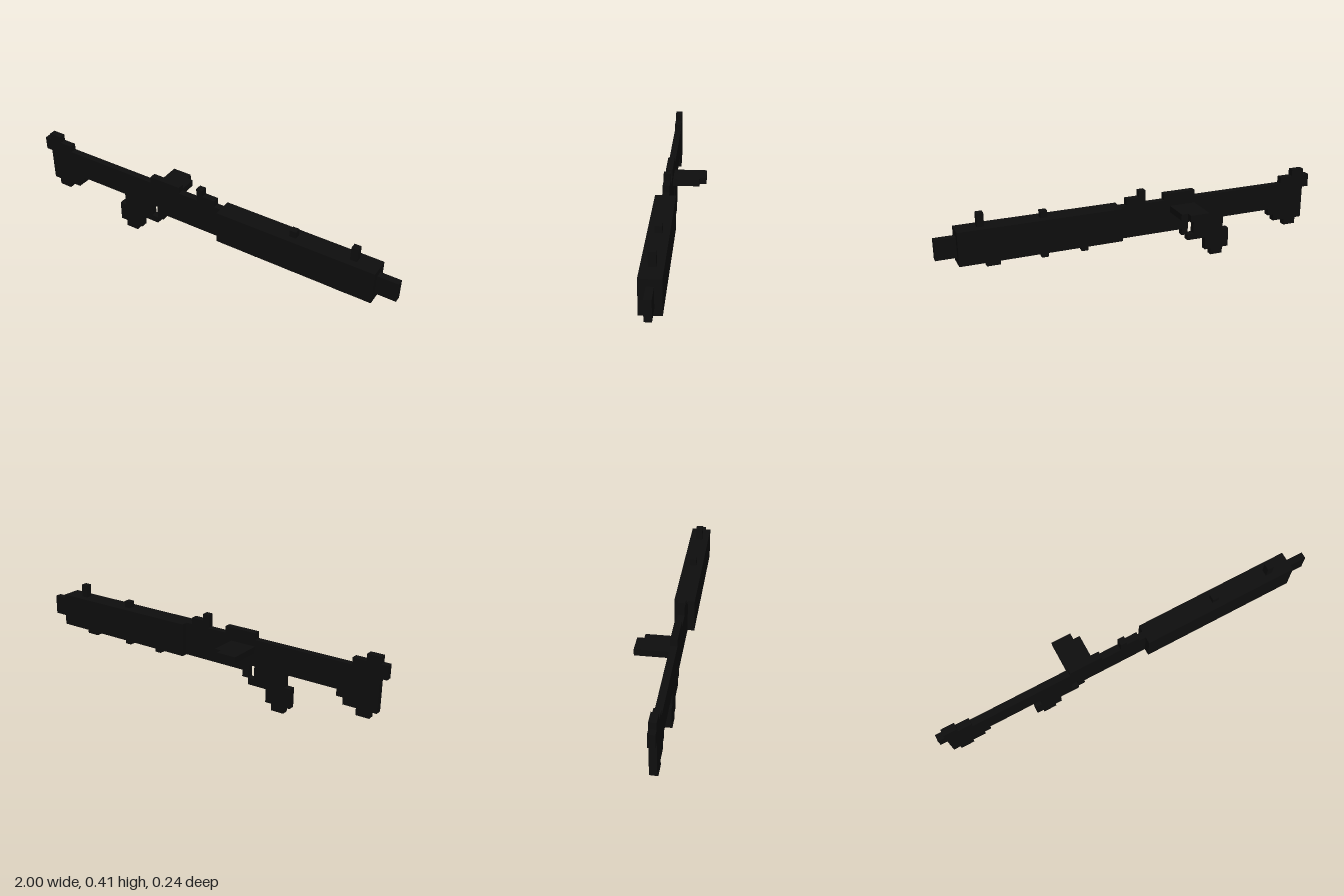
import * as THREE from 'three';

// The model sits on a grid of 59 x 12 x 7 cubes.
const UNIT = 2 / 59;

export function createModel() {
  const model = new THREE.Group();
  const blackMetal = new THREE.MeshStandardMaterial({ color: 0x0e0e0e });
  blackMetal.name = 'blackMetal';

  // Block between two grid corners; z defaults to the one-cube-thick centre layer.
  function block(name, x0, x1, y0, y1, z0 = 5, z1 = 6) {
    const geometry = new THREE.BoxGeometry((x1 - x0) * UNIT, (y1 - y0) * UNIT, (z1 - z0) * UNIT);
    const mesh = new THREE.Mesh(geometry, blackMetal);
    mesh.name = name;
    mesh.position.set(((x0 + x1) / 2 - 29.5) * UNIT, ((y0 + y1) / 2) * UNIT, ((z0 + z1) / 2 - 3.5) * UNIT);
    model.add(mesh);
  }

  // Butt plate and stock
  block('buttHeel', 0, 1, 9, 11);
  block('buttTop', 1, 5, 10, 11);
  block('buttTopStep', 1, 3, 11, 12);
  block('stock', 1, 21, 6, 10);
  block('buttLower', 1, 6, 4, 6);
  block('buttLowerStep', 6, 7, 5, 6);
  block('buttToe', 2, 4, 3, 4);

  // Grip and trigger
  block('gripTop', 15, 20, 4, 6);
  block('grip', 14, 18, 1, 4);
  block('gripFoot', 15, 17, 0, 1);
  block('triggerGuard', 18, 21, 3, 4);
  block('guardFront', 21, 22, 4, 5);

  // Receiver, with the plate reaching out to the back
  block('receiver', 21, 32, 5, 10);
  block('receiverTop', 20, 25, 10, 11);
  block('sidePlate', 20, 24, 8, 9, 1, 5);
  block('sidePlateEnd', 20, 23, 8, 9, 0, 1);
  block('rearSight', 28, 29, 10, 12);
  block('rearSightBase', 29, 31, 10, 11);

  // Wide barrel housing and muzzle
  block('barrelHousing', 32, 56, 5, 10, 4, 7);
  block('muzzle', 56, 59, 6, 9);

  // Sights and lugs along the housing
  block('middleSight', 43, 44, 10, 11);
  block('frontSight', 52, 53, 10, 12);
  for (const [x0, x1] of [[37, 38], [43, 44], [50, 52]]) block('lowerLug', x0, x1, 4, 5);

  return model;
}
